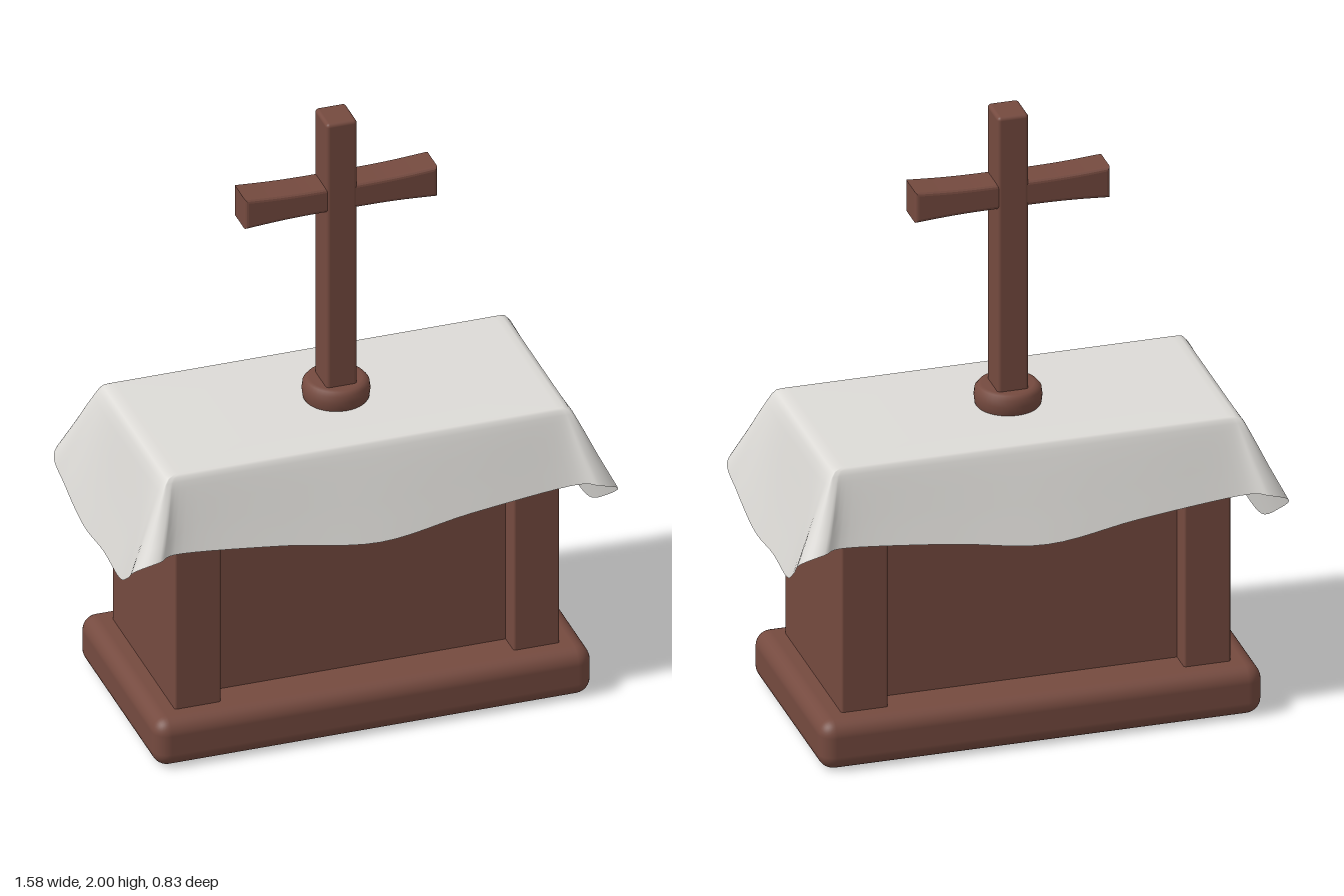
import * as THREE from 'three';
import { RoundedBoxGeometry } from 'three/addons/geometries/RoundedBoxGeometry.js';

const wood = new THREE.MeshStandardMaterial({ color: 0x754a3f });
wood.name = 'reddish brown wood';
const linen = new THREE.MeshStandardMaterial({ color: 0xdddbd7, side: THREE.DoubleSide });
linen.name = 'off-white linen';

function add(group, name, geometry, material, x = 0, y = 0, z = 0) {
  const mesh = new THREE.Mesh(geometry, material);
  mesh.name = name;
  mesh.position.set(x, y, z);
  group.add(mesh);
  return mesh;
}

const block = (w, h, d, r) => new RoundedBoxGeometry(w, h, d, 4, r);

// Draped cloth: loops run from the middle of the top, over the edge, down to the wavy hem
function clothGeometry() {
  // One quarter, end centre to front centre: top x, top z, hem x, hem y, hem z
  const quarter = [
    [0.655, 0, 0.755, 0.59, 0],
    [0.655, 0.15, 0.762, 0.59, 0.17],
    [0.655, 0.25, 0.778, 0.665, 0.30],
    [0.652, 0.298, 0.785, 0.73, 0.38],
    [0.638, 0.305, 0.715, 0.77, 0.415],
    [0.58, 0.305, 0.63, 0.768, 0.382],
    [0.30, 0.305, 0.30, 0.74, 0.395],
    [0, 0.305, 0, 0.705, 0.413],
  ];
  const flip = (list, sx, sz) => list.map(([a, b, c, y, d]) => [a * sx, b * sz, c * sx, y, d * sz]);
  const back = quarter.slice(0, -1).reverse();
  const keys = [
    ...quarter,
    ...flip(back, -1, 1),
    ...flip(quarter.slice(1), -1, -1),
    ...flip(back.slice(0, -1), 1, -1),
  ];
  const loop = (pick) => new THREE.CatmullRomCurve3(
    keys.map((k) => new THREE.Vector3(...pick(k))), true, 'catmullrom', 0.5);
  const top = loop((k) => [k[0], 1, k[1]]);
  const hem = loop((k) => [k[2], k[3], k[4]]);

  // Each ring: scale of the top outline, blend towards the hem, drop at the rounded edge
  const rings = [[0, 0, 0], [0.5, 0, 0], [0.94, 0, 0], [0.975, 0, 0.001], [1, 0, 0.006],
    [1.01, 0.05, 0.008], [1.01, 0.14, 0.006], [1.005, 0.35, 0], [1, 0.6, 0], [1, 0.8, 0], [1, 1, 0]];
  const n = 168, pos = [], index = [];
  for (const [s, t, drop] of rings) {
    for (let j = 0; j < n; j++) {
      const p = top.getPoint(j / n), q = hem.getPoint(j / n);
      p.x *= s;
      p.z *= s;
      p.lerp(q, t);
      pos.push(p.x, p.y - drop, p.z);
    }
  }
  for (let i = 0; i < rings.length - 1; i++) {
    for (let j = 0; j < n; j++) {
      const k = (j + 1) % n;
      const a = i * n + j, b = i * n + k, c = a + n, d = b + n;
      index.push(a, d, c);
      if (i > 0) index.push(a, b, d);
    }
  }
  const geometry = new THREE.BufferGeometry();
  geometry.setAttribute('position', new THREE.Float32BufferAttribute(pos, 3));
  geometry.setIndex(index);
  geometry.computeVertexNormals();
  return geometry;
}

// Crossbar that widens slightly towards both ends
function crossbarGeometry() {
  const bevel = 0.012, w = 0.313 - bevel, end = 0.052 - bevel, mid = 0.042 - bevel;
  const shape = new THREE.Shape();
  shape.moveTo(-w, -end);
  shape.bezierCurveTo(-0.18, -mid, -0.12, -mid, 0, -mid);
  shape.bezierCurveTo(0.12, -mid, 0.18, -mid, w, -end);
  shape.lineTo(w, end);
  shape.bezierCurveTo(0.18, mid, 0.12, mid, 0, mid);
  shape.bezierCurveTo(-0.12, mid, -0.18, mid, -w, end);
  const depth = 0.11 - 2 * bevel;
  const geometry = new THREE.ExtrudeGeometry(shape, {
    depth, bevelEnabled: true, bevelSize: bevel, bevelThickness: bevel, bevelSegments: 3, curveSegments: 10,
  });
  return geometry.translate(0, 0, -depth / 2);
}

export function createModel() {
  const model = new THREE.Group();
  model.name = 'altar';

  // Plinth and body: a recessed panel between two full-depth end posts
  add(model, 'plinth', block(1.42, 0.165, 0.74, 0.05), wood, 0, 0.0825, 0);
  add(model, 'recessedPanel', new THREE.BoxGeometry(0.97, 0.82, 0.44), wood, 0, 0.56, 0);
  for (const side of [1, -1]) {
    add(model, side > 0 ? 'leftPost' : 'rightPost', block(0.15, 0.83, 0.59, 0.008), wood, side * 0.55, 0.565, 0);
  }

  // Table cloth
  add(model, 'tableCloth', clothGeometry(), linen);

  // Standing cross on a rounded foot
  const cross = new THREE.Group();
  cross.name = 'cross';
  model.add(cross);
  const profile = [[0, 0.99], [0.095, 0.99], [0.103, 1.005], [0.106, 1.03], [0.103, 1.052], [0.093, 1.064], [0.08, 1.066], [0, 1.066]]
    .map(([r, y]) => new THREE.Vector2(r, y));
  add(cross, 'crossFoot', new THREE.LatheGeometry(profile, 40), wood);
  add(cross, 'crossUpright', block(0.1, 0.96, 0.116, 0.012), wood, 0, 1.52, 0);
  add(cross, 'crossBar', crossbarGeometry(), wood, 0, 1.728, 0);

  return model;
}
